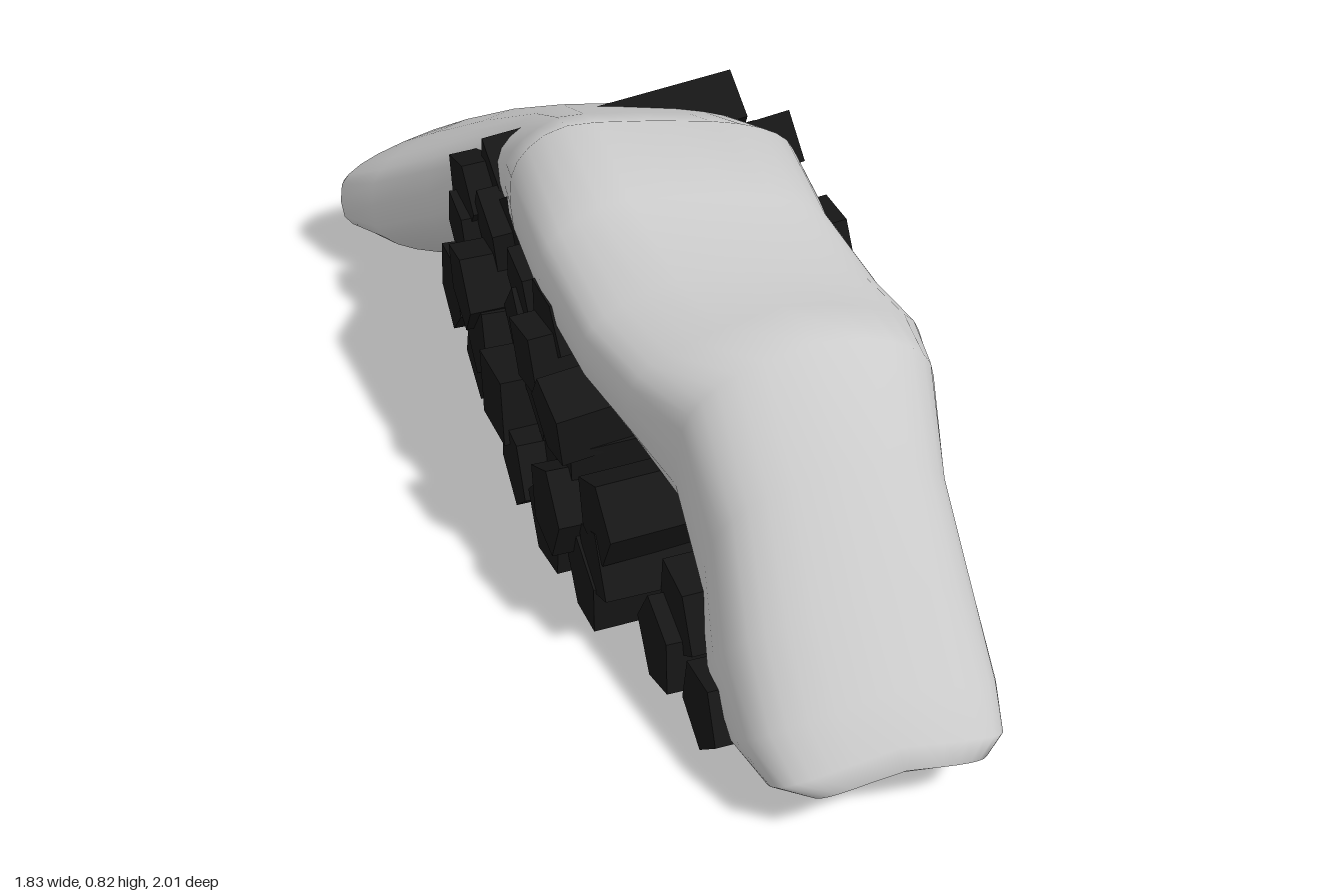
import * as THREE from 'three';

// Small seeded generator, returns -1..1
function makeRandom(seed) {
  let s = seed;
  return () => {
    s = (s * 16807) % 2147483647;
    return (s / 2147483647) * 2 - 1;
  };
}

// Snow sections along the pile: top u, top y, under u, under y, side min, side max, ridge v
const SECTIONS = [
  [-1.03, 0.20, -1.02, 0.10, -0.36, 0.06, -0.2],
  [-1.0, 0.26, -1.0, 0.06, -0.43, 0.21, -0.2],
  [-0.93, 0.34, -0.92, 0.0, -0.45, 0.33, -0.2],
  [-0.8, 0.435, -0.8, 0.02, -0.4, 0.38, -0.15],
  [-0.64, 0.54, -0.66, 0.13, -0.3, 0.385, -0.1],
  [-0.45, 0.65, -0.48, 0.29, -0.21, 0.37, -0.05],
  [-0.25, 0.75, -0.26, 0.42, -0.22, 0.36, -0.1],
  [-0.07, 0.845, -0.05, 0.48, -0.26, 0.36, -0.16],
  [0.15, 0.785, 0.15, 0.45, -0.26, 0.36, -0.1],
  [0.38, 0.745, 0.36, 0.43, -0.24, 0.38, 0.0],
  [0.55, 0.755, 0.5, 0.4, -0.2, 0.39, 0.1],
  [0.68, 0.76, 0.6, 0.3, -0.14, 0.37, 0.13],
  [0.85, 0.6, 0.7, 0.17, -0.13, 0.34, 0.13],
  [1.0, 0.425, 0.78, 0.07, -0.15, 0.35, 0.12],
  [1.12, 0.29, 0.92, 0.03, -0.15, 0.35, 0.1],
  [1.18, 0.21, 1.06, 0.05, -0.12, 0.33, 0.1],
  [1.2, 0.17, 1.14, 0.1, -0.06, 0.28, 0.1],
];

// Closed loft of rounded sections: sloping from the ridge, belly lowest at the middle
function snowGeometry() {
  const n = 28;
  const pos = [], idx = [];
  const soft = (t) => Math.sign(t) * Math.pow(Math.abs(t), 0.62);
  for (const [tu, ty, bu, by, v0, v1, ridge] of SECTIONS) {
    for (let j = 0; j < n; j++) {
      const a = (j / n) * Math.PI * 2;
      const h = (soft(Math.sin(a)) + 1) / 2;
      const v = (v0 + v1) / 2 + ((v1 - v0) / 2) * soft(Math.cos(a));
      const top = ty - 0.18 * Math.abs(v - ridge);
      const under = by + 0.14 * Math.abs(v - 0.06);
      pos.push(bu + (tu - bu) * h, under + (top - under) * h, -v);
    }
  }
  const last = SECTIONS.length - 1;
  for (let i = 0; i < last; i++) {
    for (let j = 0; j < n; j++) {
      const a = i * n + j, b = i * n + ((j + 1) % n);
      idx.push(a, b, a + n, b, b + n, a + n);
    }
  }
  // End caps
  for (const i of [0, last]) {
    const [tu, ty, bu, by, v0, v1] = SECTIONS[i];
    const c = pos.length / 3;
    pos.push((tu + bu) / 2, (ty + by) / 2, -(v0 + v1) / 2);
    for (let j = 0; j < n; j++) {
      const a = i * n + j, b = i * n + ((j + 1) % n);
      if (i === 0) idx.push(c, b, a);
      else idx.push(c, a, b);
    }
  }
  const g = new THREE.BufferGeometry();
  g.setAttribute('position', new THREE.Float32BufferAttribute(pos, 3));
  g.setIndex(idx);
  g.computeVertexNormals();
  return g;
}

export function createModel() {
  const model = new THREE.Group();
  model.name = 'snowyWoodpile';
  const pile = new THREE.Group();
  pile.name = 'pile';
  pile.rotation.y = -Math.atan2(0.83, 0.56); // pile lies diagonally
  model.add(pile);

  const snow = new THREE.Mesh(snowGeometry(), new THREE.MeshStandardMaterial({ color: 0xcccccc }));
  snow.name = 'snowBlanket';
  pile.add(snow);

  // Stacked split logs, each row: height, first u, last u, count, tilt, left end
  const rows = [
    [0.13, -0.85, 0.87, 10, 0, -0.28],
    [0.25, -0.77, 0.74, 9, 0.02, -0.28],
    [0.37, -0.63, 0.53, 7, 0.05, -0.28],
    [0.475, -0.46, 0.34, 5, 0.09, -0.27],
    [0.565, -0.38, 0.14, 4, 0.13, -0.22],
  ];
  const woodMaterial = new THREE.MeshStandardMaterial({ color: 0x161616, flatShading: true });
  const rnd = makeRandom(4711);
  const logs = new THREE.Group();
  logs.name = 'logs';
  pile.add(logs);
  rows.forEach(([y, u0, u1, count, tilt, left], r) => {
    for (let k = 0; k < count; k++) {
      const u = u0 + ((u1 - u0) * k) / (count - 1);
      const sides = rnd() > 0 ? 5 : 4;
      const radius = (r === 4 ? 0.088 : 0.1) + rnd() * 0.008;
      // Logs end further in near both ends of the pile
      const inset = Math.max(0, u - 0.4) * 0.2 + Math.max(0, -0.45 - u) * 0.6;
      const v0 = left + rnd() * 0.05 + inset;
      const v1 = 0.385 + rnd() * 0.045 + Math.max(0, u - 0.5) * 0.08;
      const g = new THREE.CylinderGeometry(radius, radius * (0.95 + rnd() * 0.05), v1 - v0, sides);
      g.rotateX(Math.PI / 2);
      const log = new THREE.Mesh(g, woodMaterial);
      log.name = 'log';
      log.position.set(u + rnd() * 0.015, y - u * 0.03 + rnd() * 0.012, -(v0 + v1) / 2);
      log.rotation.set(tilt + rnd() * 0.04, rnd() * 0.05, rnd() * Math.PI);
      logs.add(log);
    }
  });
  return model;
}
